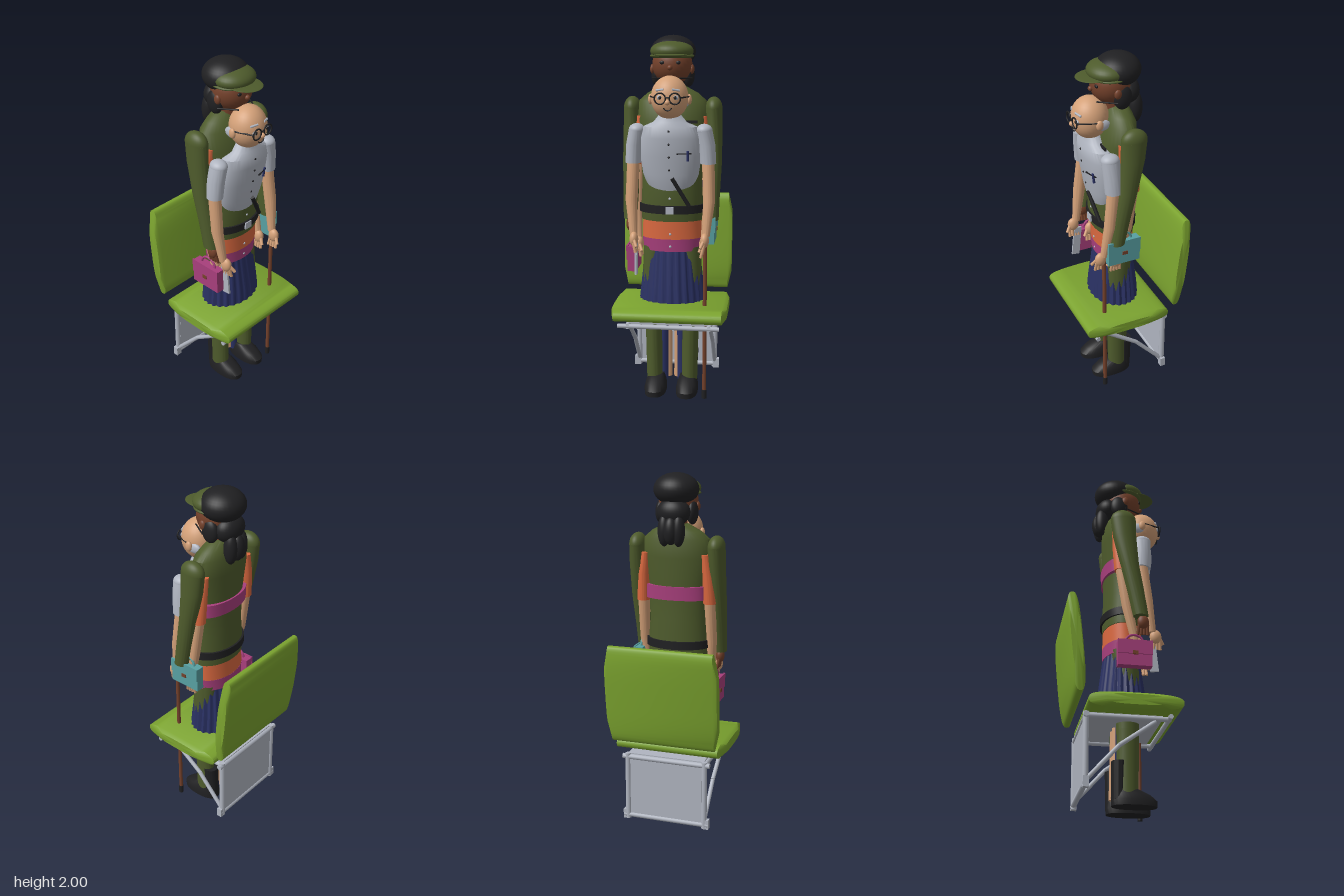
import * as THREE from 'three';
import { toCreasedNormals } from 'three/addons/utils/BufferGeometryUtils.js';

const mat = (name, color) => Object.assign(new THREE.MeshStandardMaterial({ color }), { name });

export function createModel() {
  const root = new THREE.Group();
  const lime = mat('seat green', 0x7ba32f), olive = mat('olive cloth', 0x4e5b2c), black = mat('black', 0x202022),
    grey = mat('light grey', 0xb0b5c0), orange = mat('orange cloth', 0xd9683f), magenta = mat('magenta', 0xa83f7c),
    navy = mat('navy cloth', 0x2a3163), skin = mat('light skin', 0xd3a078), brown = mat('brown', 0x74412b),
    teal = mat('teal', 0x58a0a2);

  function add(name, geo, m, x = 0, y = 0, z = 0) {
    const mesh = new THREE.Mesh(geo, m);
    mesh.name = name;
    mesh.position.set(x, y, z);
    root.add(mesh);
    return mesh;
  }
  const box = (name, m, x, y, z, w, h, d) => add(name, new THREE.BoxGeometry(w, h, d), m, x, y, z);
  function ball(name, m, x, y, z, rx, ry, rz) {
    return add(name, new THREE.SphereGeometry(1, 32, 20).scale(rx, ry, rz), m, x, y, z);
  }
  function rod(name, m, a, b, r) {
    const p = new THREE.Vector3(...a), d = new THREE.Vector3(...b).sub(p);
    const mesh = add(name, new THREE.CylinderGeometry(r, r, d.length(), 12), m);
    mesh.position.copy(p).addScaledVector(d, 0.5);
    mesh.quaternion.setFromUnitVectors(new THREE.Vector3(0, 1, 0), d.normalize());
    return mesh;
  }
  // Closed stack of rings; each section is [x, y, z, rx, rz], power < 1 squares the ring
  function loft(sections, { power = 1, pleats = 0, n = 40 } = {}) {
    const pos = [], idx = [];
    const sp = v => Math.sign(v) * Math.pow(Math.abs(v), power);
    for (const [x, y, z, rx, rz] of sections) {
      for (let i = 0; i < n; i++) {
        const a = i / n * Math.PI * 2, k = pleats ? 1 + 0.03 * Math.cos(pleats * a) : 1;
        pos.push(x + rx * k * sp(Math.cos(a)), y, z + rz * k * sp(Math.sin(a)));
      }
    }
    const last = (sections.length - 1) * n, c0 = sections.length * n;
    for (const s of [sections[0], sections.at(-1)]) pos.push(s[0], s[1], s[2]);
    for (let i = 0; i < n; i++) {
      const k = (i + 1) % n;
      for (let j = 0; j < last; j += n) idx.push(j + i, j + n + i, j + n + k, j + i, j + n + k, j + k);
      idx.push(c0, i, k, c0 + 1, last + k, last + i);
    }
    const g = new THREE.BufferGeometry();
    g.setAttribute('position', new THREE.Float32BufferAttribute(pos, 3));
    g.setIndex(idx);
    return toCreasedNormals(g, 0.75);
  }
  // Body section from height, half width, back z and front z
  const sec = (y, rx, back, front) => [0, y, (back + front) / 2, rx, (front - back) / 2];
  const body = (name, m, rows, opt) => add(name, loft(rows.map(r => sec(...r)), opt), m);

  // Seat cushions, lofted sideways with tapered ends
  const cushion = (h, d, hEnd, dEnd) => loft([[0, -0.317, 0, hEnd, dEnd], [0, -0.295, 0, h, d],
    [0, 0.295, 0, h, d], [0, 0.317, 0, hEnd, dEnd]], { power: 0.65, n: 48 }).rotateZ(-Math.PI / 2);
  add('seatCushion', cushion(0.044, 0.248, 0.028, 0.16), lime, 0, 0.498, 0.06);
  add('backrest', cushion(0.28, 0.036, 0.18, 0.028), lime, 0, 0.815, -0.257).rotation.x = -0.1;

  // Folding metal frame
  box('seatPan', grey, 0, 0.442, 0.01, 0.44, 0.016, 0.4);
  box('backPlate', grey, 0, 0.25, -0.192, 0.42, 0.36, 0.015);
  rod('frontBar', grey, [-0.28, 0.43, 0.24], [0.28, 0.43, 0.24], 0.013);
  rod('rearBar', grey, [-0.255, 0.43, -0.192], [0.255, 0.43, -0.192], 0.015);
  rod('lowerBar', grey, [-0.25, 0.075, -0.192], [0.25, 0.075, -0.192], 0.015);
  for (const s of [-1, 1]) {
    rod('seatRail', grey, [s * 0.225, 0.43, 0.25], [s * 0.225, 0.43, -0.2], 0.014);
    rod('rearPost', grey, [s * 0.225, 0.45, -0.192], [s * 0.225, 0.055, -0.192], 0.016);
    rod('upperStrut', grey, [s * 0.225, 0.415, 0.17], [s * 0.225, 0.28, -0.02], 0.012);
    rod('lowerStrut', grey, [s * 0.225, 0.28, -0.02], [s * 0.225, 0.09, -0.192], 0.012);
    box('frameFoot', grey, s * 0.235, 0.08, -0.19, 0.035, 0.055, 0.03);
  }

  // Legs and shoes
  for (const s of [-1, 1]) {
    add('trouserLeg', loft([[s * 0.1, 0.06, 0.045, 0.044, 0.055], [s * 0.105, 0.4, 0.045, 0.046, 0.06],
      [s * 0.105, 0.72, 0.04, 0.06, 0.068], [s * 0.095, 0.85, 0.03, 0.065, 0.075]]), olive);
    add('boot', loft([[s * 0.095, 0.03, 0, 0.04, 0.04], [s * 0.1, 0.23, 0, 0.047, 0.042]]), black);
    add('shoe', loft([[s * 0.09, 0, 0.08, 0.06, 0.118], [s * 0.09, 0.03, 0.08, 0.062, 0.12],
      [s * 0.09, 0.06, 0.065, 0.056, 0.1], [s * 0.09, 0.095, 0.03, 0.042, 0.06]], { power: 0.85 }), black);
    rod('innerTrouserLeg', navy, [s * 0.052, 0.05, 0.01], [s * 0.05, 0.6, 0.02], 0.026);
    rod('bareLeg', skin, [s * 0.028, 0.06, -0.01], [s * 0.03, 0.6, 0], 0.023);
  }

  // Pleated skirt, waist bands and jacket
  body('skirt', navy, [[0.5, 0.185, -0.105, 0.165], [0.62, 0.172, -0.098, 0.155], [0.84, 0.148, -0.07, 0.125]],
    { pleats: 24, n: 144 });
  body('hipBand', magenta, [[0.83, 0.16, -0.075, 0.135], [0.9, 0.167, -0.075, 0.138]]);
  body('waistBand', orange, [[0.9, 0.167, -0.074, 0.138], [1.01, 0.163, -0.072, 0.138]]);
  body('jacket', olive, [[1, 0.17, -0.075, 0.143], [1.08, 0.172, -0.078, 0.152], [1.2, 0.165, -0.07, 0.157],
    [1.4, 0.17, -0.075, 0.14], [1.55, 0.195, -0.08, 0.13], [1.65, 0.185, -0.08, 0.1], [1.69, 0.14, -0.065, 0.075],
    [1.73, 0.065, -0.05, 0.05]]);
  body('belt', black, [[1.045, 0.182, -0.088, 0.16], [1.09, 0.182, -0.088, 0.162]]);
  box('buckle', grey, 0, 1.067, 0.163, 0.045, 0.04, 0.009);
  body('backSash', magenta, [[1.32, 0.171, -0.082, 0.07], [1.395, 0.173, -0.084, 0.07]]);
  rod('hangingStrap', black, [0.015, 1.245, 0.176], [0.105, 1.09, 0.148], 0.011);

  // Shirt over the jacket
  body('shirt', grey, [[1.15, 0.105, 0.02, 0.148], [1.2, 0.13, 0.02, 0.164], [1.26, 0.152, 0.02, 0.176],
    [1.36, 0.167, 0.02, 0.192], [1.46, 0.166, 0.03, 0.207], [1.52, 0.145, 0.05, 0.205], [1.545, 0.09, 0.08, 0.19],
    [1.6, 0.045, 0.1, 0.18]]);
  for (const [y, z] of [[1.29, 0.182], [1.36, 0.193], [1.43, 0.203], [1.5, 0.207]])
    ball('shirtButton', black, 0, y, z, 0.006, 0.006, 0.004);
  for (const [y, z] of [[0.86, 0.136], [0.93, 0.139], [1.13, 0.154]])
    ball('lowerButton', grey, 0, y, z, 0.007, 0.007, 0.004);
  box('pocketEdge', black, 0.08, 1.38, 0.184, 0.08, 0.006, 0.009).rotation.y = 0.3;
  rod('pen', navy, [0.1, 1.34, 0.176], [0.1, 1.395, 0.182], 0.007);
  box('chestTab', black, 0.1, 1.545, 0.129, 0.09, 0.016, 0.009);

  // Hand with palm, four fingers and thumb
  function hand(name, m, x, y, z, s) {
    ball(name, m, x, y, z, 0.024, 0.04, 0.032);
    for (let i = 0; i < 4; i++) {
      const dz = (i - 1.5) * 0.015;
      rod(name + 'Finger', m, [x, y - 0.015, z + dz], [x - s * 0.012, y - 0.07, z + dz * 1.2], 0.0085);
    }
    rod(name + 'Thumb', m, [x, y + 0.01, z + 0.015], [x - s * 0.02, y - 0.035, z + 0.045], 0.009);
  }
  // Three pairs of arms
  for (const s of [-1, 1]) {
    add('jacketSleeve', loft([[s * 0.225, 1.01, 0.1, 0.037, 0.042], [s * 0.224, 1.15, 0.075, 0.042, 0.047],
      [s * 0.228, 1.32, 0.04, 0.045, 0.052], [s * 0.226, 1.5, 0.012, 0.046, 0.066],
      [s * 0.224, 1.61, 0.005, 0.046, 0.072]]), olive);
    ball('jacketShoulder', olive, s * 0.224, 1.61, 0.005, 0.046, 0.062, 0.072);
    hand('jacketHand', brown, s * 0.222, 0.98, 0.112, s);
    add('shirtSleeve', loft([[s * 0.204, 1.32, 0.11, 0.043, 0.048], [s * 0.197, 1.42, 0.115, 0.045, 0.05],
      [s * 0.182, 1.5, 0.12, 0.044, 0.05]]), grey);
    ball('shirtShoulder', grey, s * 0.182, 1.5, 0.12, 0.044, 0.035, 0.05);
    add('frontForearm', loft([[s * 0.198, 0.93, 0.165, 0.021, 0.022], [s * 0.212, 1.12, 0.135, 0.033, 0.034],
      [s * 0.204, 1.33, 0.11, 0.034, 0.036]]), skin);
    hand('frontHand', skin, s * 0.193, 0.91, 0.185, s);
    add('orangeSleeve', loft([[s * 0.192, 1.3, 0, 0.037, 0.04], [s * 0.185, 1.45, 0.01, 0.037, 0.06],
      [s * 0.17, 1.57, 0.01, 0.03, 0.06]]), orange);
    add('rearForearm', loft([[s * 0.182, 0.88, 0.075, 0.02, 0.022], [s * 0.196, 1.08, 0.03, 0.028, 0.03],
      [s * 0.192, 1.31, 0, 0.032, 0.034]]), skin);
    hand('rearHand', skin, s * 0.178, 0.865, 0.085, s);
  }

  // Handbags, folded paper and walking cane
  function bag(name, m, x, y, s) {
    box(name, m, x, y, 0.065, 0.048, 0.14, 0.185);
    box(name + 'Flap', m, x + s * 0.026, y + 0.035, 0.065, 0.009, 0.08, 0.188);
    box(name + 'Clasp', brown, x + s * 0.031, y, 0.065, 0.008, 0.02, 0.03);
    const strap = add(name + 'Handle', new THREE.TorusGeometry(0.05, 0.007, 8, 20, Math.PI), m, x, y + 0.065, 0.065);
    strap.rotation.y = Math.PI / 2;
  }
  bag('tealBag', teal, 0.218, 0.955, 1);
  bag('magentaBag', magenta, -0.21, 0.79, -1);
  box('foldedPaper', grey, -0.183, 0.8, 0.17, 0.012, 0.18, 0.045).rotation.x = -0.1;
  rod('cane', brown, [0.195, 0.03, 0.165], [0.195, 0.92, 0.165], 0.011);
  rod('caneTip', black, [0.195, 0, 0.165], [0.195, 0.05, 0.165], 0.014);

  // Front head with spectacles
  ball('frontHead', skin, 0, 1.675, 0.152, 0.1, 0.115, 0.1);
  ball('nose', skin, 0, 1.655, 0.252, 0.014, 0.014, 0.014);
  for (const s of [-1, 1]) {
    ball('frontEar', skin, s * 0.103, 1.665, 0.14, 0.014, 0.028, 0.02);
    ball('sideHair', grey, s * 0.085, 1.655, 0.12, 0.018, 0.03, 0.045);
    ball('eyeWhite', grey, s * 0.04, 1.68, 0.238, 0.017, 0.013, 0.009);
    ball('pupil', black, s * 0.04, 1.68, 0.246, 0.008, 0.009, 0.005);
    rod('eyebrow', grey, [s * 0.022, 1.722, 0.24], [s * 0.062, 1.716, 0.225], 0.006);
    add('lensRim', new THREE.TorusGeometry(0.029, 0.004, 8, 28), black, s * 0.039, 1.675, 0.252);
    rod('glassesArm', black, [s * 0.067, 1.68, 0.25], [s * 0.106, 1.68, 0.145], 0.004);
  }
  rod('glassesBridge', black, [-0.012, 1.68, 0.252], [0.012, 1.68, 0.252], 0.004);
  const smile = add('smile', new THREE.TorusGeometry(0.022, 0.003, 6, 16, Math.PI * 0.8), black, 0, 1.634, 0.243);
  smile.rotation.z = Math.PI * 1.1;

  // Rear head with cap, hair and tails
  ball('rearHead', brown, 0, 1.845, 0.035, 0.108, 0.11, 0.108);
  rod('neck', brown, [0, 1.66, 0.01], [0, 1.79, 0.02], 0.055);
  ball('rearNose', brown, 0, 1.83, 0.145, 0.014, 0.014, 0.014);
  for (const s of [-1, 1]) {
    ball('rearEar', brown, s * 0.107, 1.82, 0.04, 0.013, 0.026, 0.02);
    ball('rearEye', black, s * 0.042, 1.856, 0.131, 0.014, 0.01, 0.008);
    ball('sideLock', black, s * 0.088, 1.79, 0.005, 0.03, 0.065, 0.05);
    ball('hairTail', black, s * 0.04, 1.7, -0.09, 0.035, 0.085, 0.038);
    rod('rearGlassesArm', black, [s * 0.05, 1.775, 0.135], [s * 0.108, 1.77, 0.04], 0.004);
  }
  ball('hairCrown', black, 0, 1.912, -0.005, 0.123, 0.088, 0.122);
  ball('hairNape', black, 0, 1.795, -0.05, 0.092, 0.075, 0.07);
  ball('bun', black, 0, 1.7, -0.1, 0.04, 0.075, 0.042);
  ball('cap', olive, 0, 1.915, 0.053, 0.117, 0.056, 0.107);
  ball('capBand', olive, 0, 1.89, 0.045, 0.12, 0.02, 0.108);
  ball('capBrim', olive, 0, 1.895, 0.12, 0.09, 0.008, 0.104);

  return root;
}
